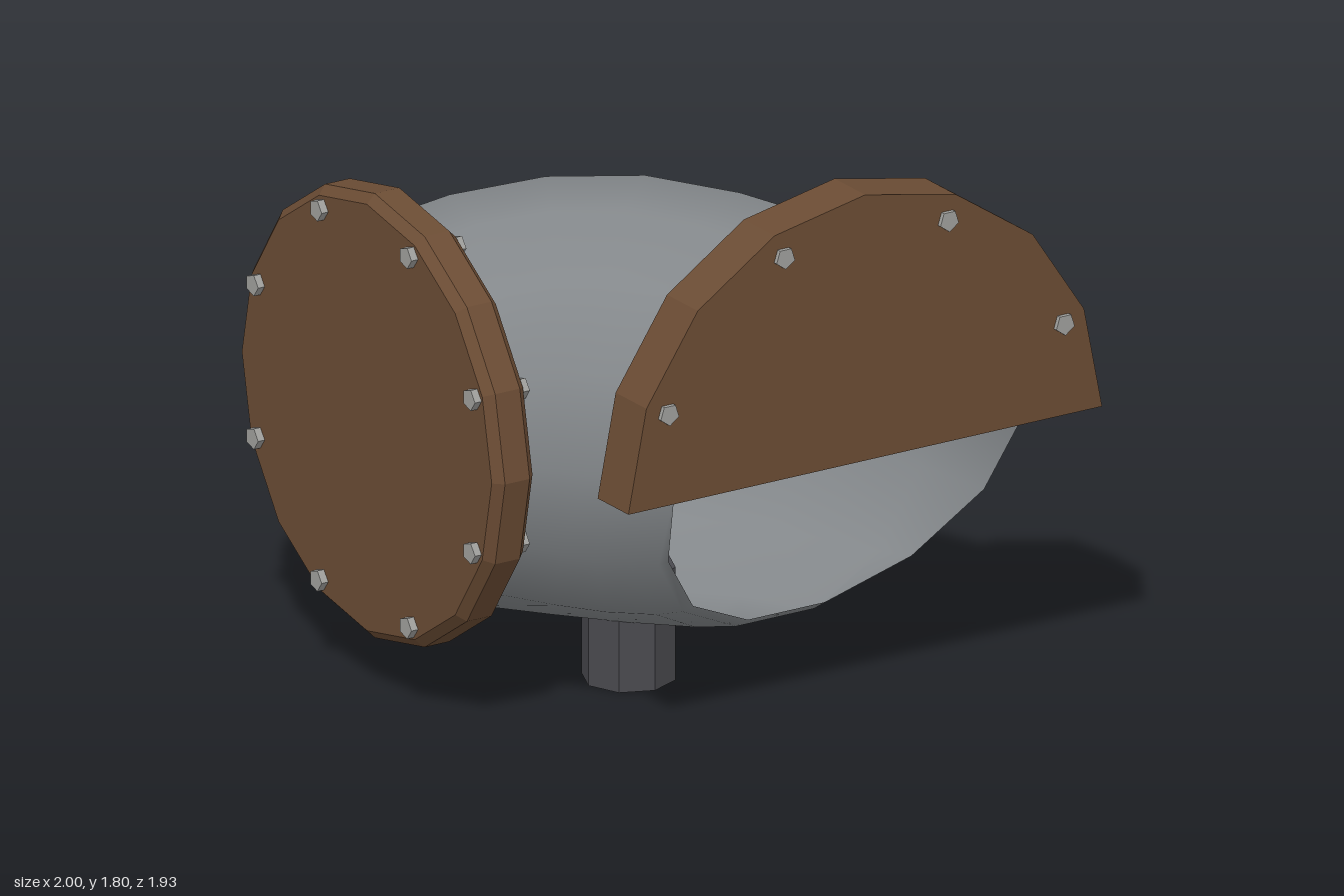
import * as THREE from 'three';

const paint = (name, color) => {
  const m = new THREE.MeshStandardMaterial({ color });
  m.name = name;
  return m;
};

// Give every face its own normal
function faceted(geometry) {
  const g = geometry.index ? geometry.toNonIndexed() : geometry;
  g.computeVertexNormals();
  return g;
}

// Elbow tube: fourteen-sided rings swept along a quarter ellipse,
// with the lower front lip cut back at a slant
function elbowGeometry(axisY) {
  const radii = [0.6, 0.65, 0.69, 0.705, 0.69, 0.675, 0.655];
  const sides = 14;
  const positions = [];
  const index = [];
  radii.forEach((r, i) => {
    const t = (i / (radii.length - 1)) * Math.PI / 2;
    const cx = -0.9 + 1.01 * Math.sin(t);
    const cz = 0.86 - 1.09 * Math.cos(t);
    for (let j = 0; j < sides; j++) {
      const v = (j / sides) * Math.PI * 2;
      const out = r * Math.cos(v);
      const dy = r * Math.sin(v);
      const drop = Math.max(0, -dy);
      const lip = 0.86 - 0.4 * drop - 0.25 * drop * drop;
      positions.push(cx + out * Math.sin(t), axisY + dy, Math.min(cz - out * Math.cos(t), lip));
      if (i < radii.length - 1) {
        const a = i * sides + j;
        const b = i * sides + (j + 1) % sides;
        index.push(a, b, a + sides, b, b + sides, a + sides);
      }
    }
  });
  const g = new THREE.BufferGeometry();
  g.setAttribute('position', new THREE.Float32BufferAttribute(positions, 3));
  g.setIndex(index);
  g.computeVertexNormals();
  return g;
}

export function createModel() {
  const model = new THREE.Group();
  model.name = 'pipeElbow';
  const axisY = 0.92;

  const pipeGrey = paint('pipe grey', 0x83878a);
  pipeGrey.side = THREE.DoubleSide;
  const rust = paint('rust brown', 0x6b4c34);
  const iron = paint('dark iron', 0x49494e);
  const steel = paint('bolt steel', 0xa0a09d);

  const add = (name, geometry, material, x = 0, y = 0, z = 0) => {
    const mesh = new THREE.Mesh(geometry, material);
    mesh.name = name;
    mesh.position.set(x, y, z);
    model.add(mesh);
    return mesh;
  };

  add('elbowPipe', elbowGeometry(axisY), pipeGrey);

  // Round side flange with chamfered rims
  const profile = [[0, -0.076], [0.71, -0.076], [0.74, -0.046], [0.74, 0.046], [0.71, 0.076], [0, 0.076]]
    .map(([r, h]) => new THREE.Vector2(r, h));
  add('sideFlange', faceted(new THREE.LatheGeometry(profile, 16)), rust, -0.902, axisY, -0.23)
    .rotation.z = Math.PI / 2;

  // Half-disc front flange
  const half = new THREE.Shape();
  for (let i = 0; i <= 8; i++) {
    const a = (i / 8) * Math.PI;
    const x = 0.885 * Math.cos(a), y = 0.885 * Math.sin(a);
    if (i) half.lineTo(x, y); else half.moveTo(x, y);
  }
  half.closePath();
  add('frontFlange', new THREE.ExtrudeGeometry(half, { depth: 0.175, bevelEnabled: false }),
    rust, 0.11, axisY, 0.773);

  // Drain stub under the bend
  add('drainStub', faceted(new THREE.CylinderGeometry(0.15, 0.15, 0.375, 8)), iron, -0.21, 0.1875, 0.09);

  // Bolts passing through both flanges
  const boltGeometry = faceted(new THREE.CylinderGeometry(0.036, 0.036, 0.205, 5));
  for (let i = 0; i < 8; i++) {
    const a = (i + 0.5) * Math.PI / 4;
    const c = Math.cos(a), s = Math.sin(a);
    add('sideBolt', boltGeometry, steel, -0.9, axisY + 0.667 * s, -0.23 + 0.667 * c)
      .rotation.z = Math.PI / 2;
    if (i < 4) {
      add('frontBolt', boltGeometry, steel, 0.11 + 0.8 * c, axisY + 0.8 * s, 0.86)
        .rotation.x = Math.PI / 2;
    }
  }
  return model;
}
